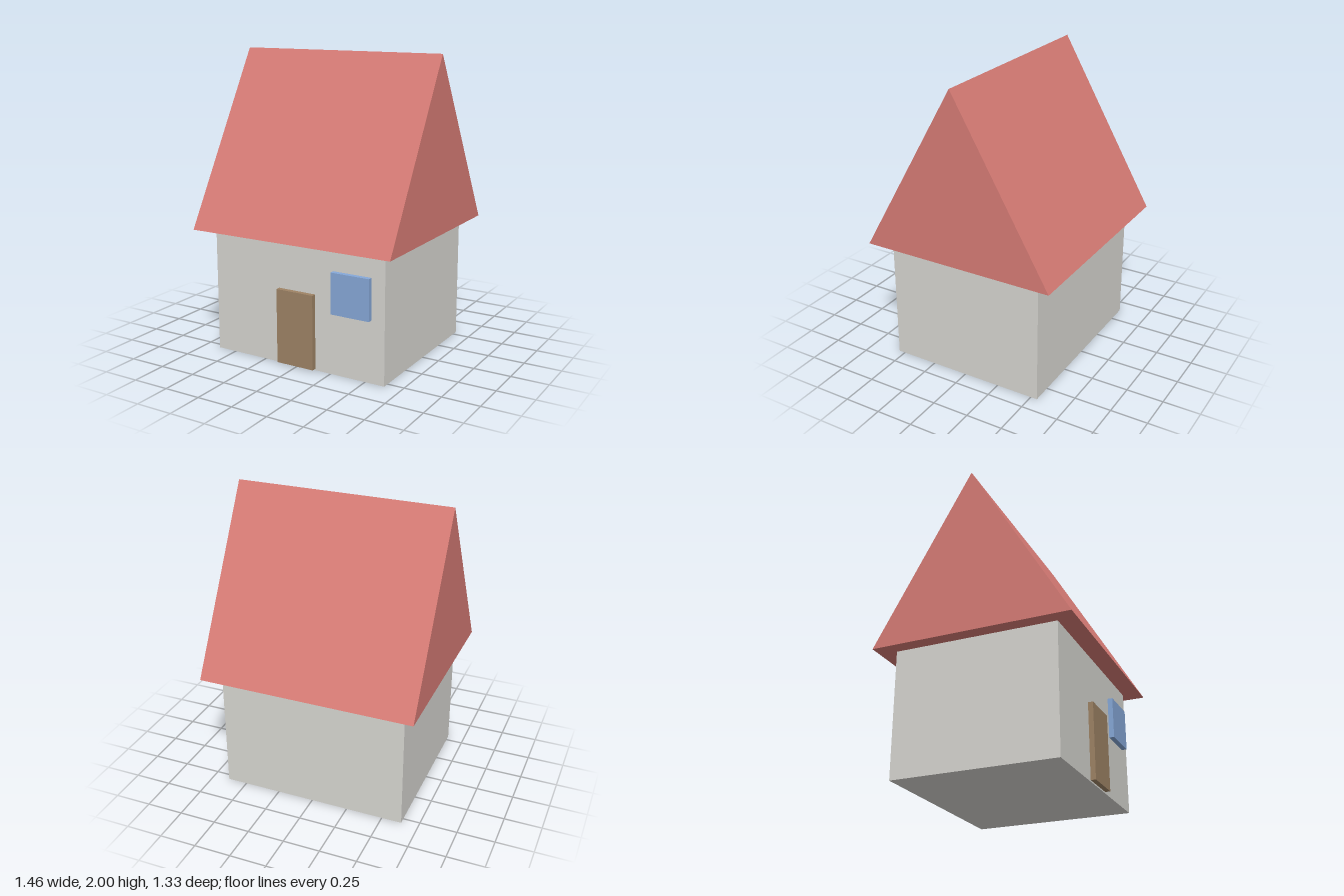
import * as THREE from 'three';

const paint = (name, color) => {
  const m = new THREE.MeshStandardMaterial({ color });
  m.name = name;
  return m;
};

export function createModel() {
  const house = new THREE.Group();
  house.name = 'house';

  const plaster = paint('plaster grey', 0xd6d5d0);
  const tile = paint('roof red', 0xd67b75);
  const wood = paint('door brown', 0x9e8365);
  const glass = paint('window blue', 0x86a8d8);

  // Box given by its lower and upper corners
  const block = (name, material, [x0, y0, z0], [x1, y1, z1]) => {
    const mesh = new THREE.Mesh(new THREE.BoxGeometry(x1 - x0, y1 - y0, z1 - z0), material);
    mesh.position.set((x0 + x1) / 2, (y0 + y1) / 2, (z0 + z1) / 2);
    mesh.name = name;
    house.add(mesh);
  };

  block('walls', plaster, [-0.635, 0, -0.545], [0.635, 0.845, 0.545]);
  block('door', wood, [-0.136, 0.01, 0.54], [0.136, 0.51, 0.578]);
  block('window', glass, [0.27, 0.412, 0.54], [0.542, 0.684, 0.578]);

  // Gabled roof: triangular profile extruded along x
  const eaves = 0.845, halfDepth = 0.667, length = 1.458;
  const gable = new THREE.Shape();
  gable.moveTo(-halfDepth, eaves);
  gable.lineTo(halfDepth, eaves);
  gable.lineTo(0, 2);
  gable.closePath();
  const roofGeometry = new THREE.ExtrudeGeometry(gable, { depth: length, bevelEnabled: false });
  roofGeometry.translate(0, 0, -length / 2);
  roofGeometry.rotateY(Math.PI / 2);
  const roof = new THREE.Mesh(roofGeometry, tile);
  roof.name = 'roof';
  house.add(roof);

  return house;
}
